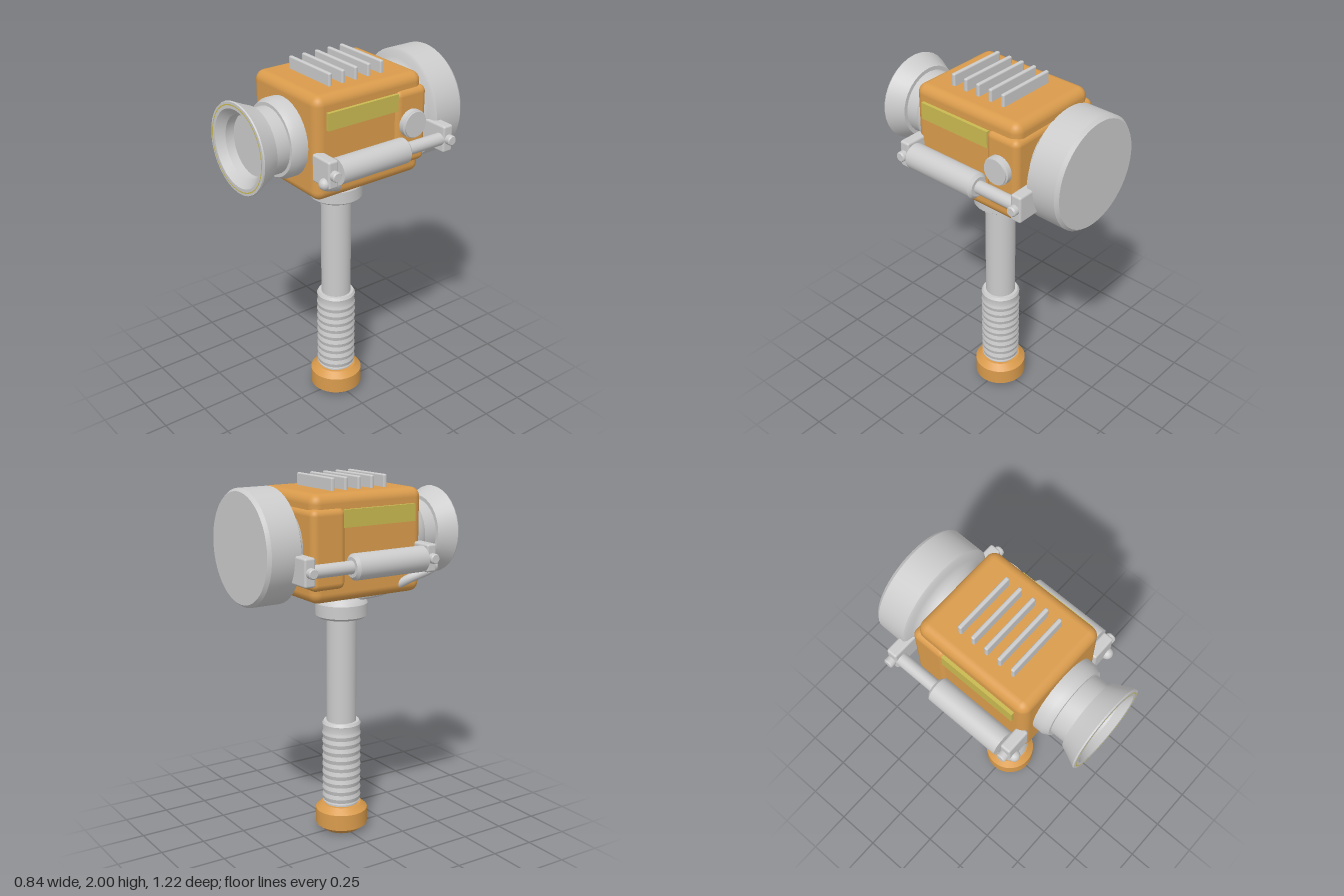
import * as THREE from 'three';
import { toCreasedNormals } from 'three/addons/utils/BufferGeometryUtils.js';
import { RoundedBoxGeometry } from 'three/addons/geometries/RoundedBoxGeometry.js';

const orange = new THREE.MeshStandardMaterial({ color: 0xd99b4c });
orange.name = 'orange paint';
const steel = new THREE.MeshStandardMaterial({ color: 0xcbcbcb });
steel.name = 'light steel';
const yellow = new THREE.MeshStandardMaterial({ color: 0xc9b951 });
yellow.name = 'yellow trim';

const HEAD_Y = 1.66; // height of the striking axis

export function createModel() {
  const model = new THREE.Group();
  model.name = 'hammer';

  const add = (name, geometry, material, x = 0, y = 0, z = 0) => {
    const mesh = new THREE.Mesh(geometry, material);
    mesh.name = name;
    mesh.position.set(x, y, z);
    model.add(mesh);
    return mesh;
  };
  // Turned part from [radius, height] pairs, with crisp edges
  const turned = (points, sides = 32) => toCreasedNormals(
    new THREE.LatheGeometry(points.map(([r, h]) => new THREE.Vector2(r, h)), sides), 0.5);
  const alongZ = (points, sides) => turned(points, sides).rotateX(Math.PI / 2);
  const alongX = (points, sides) => turned(points, sides).rotateZ(-Math.PI / 2);
  const rounded = (w, h, d, r) => new RoundedBoxGeometry(w, h, d, 4, r);

  // Handle
  add('pommel', turned([[0, 0], [0.1, 0], [0.145, 0.035], [0.145, 0.125], [0.11, 0.157], [0, 0.157]]), orange);
  const grip = [[0, 0.15], [0.095, 0.15], [0.095, 0.168], [0.105, 0.172]];
  for (let i = 0; i <= 36; i++) {
    grip.push([0.105 - 0.003 * Math.cos((i / 4) * Math.PI * 2), 0.18 + i * 0.0115]);
  }
  grip.push([0.107, 0.63], [0.098, 0.645], [0, 0.645]);
  add('grip', turned(grip), steel);
  add('shaft', new THREE.CylinderGeometry(0.082, 0.082, 0.7, 32, 1, true), steel, 0, 0.95, 0);
  add('shaftCollar', turned([[0, 1.235], [0.125, 1.235], [0.142, 1.248], [0.142, 1.315], [0.127, 1.342],
    [0.115, 1.35], [0.115, 1.362], [0.148, 1.368], [0.148, 1.395], [0, 1.395]]), steel);

  // Head housing
  add('housing', rounded(0.55, 0.55, 0.67, 0.05), orange, 0, HEAD_Y, -0.01);
  add('rearSaddle', rounded(0.59, 0.41, 0.2, 0.035), orange, 0, HEAD_Y, -0.26);

  // Cooling fins
  for (let i = -2; i <= 2; i++) {
    add('fin', rounded(0.34, 0.08, 0.022, 0.008), steel, 0, 1.96, i * 0.08);
  }

  // Large rear striking face
  add('rearHammerFace', alongZ([[0, -0.61], [0.285, -0.61], [0.3, -0.592], [0.3, -0.428], [0.285, -0.418],
    [0.255, -0.412], [0.235, -0.402], [0.215, -0.385], [0.2, -0.355], [0.2, -0.32]], 48), steel, 0, HEAD_Y, 0);

  // Flared front muzzle with a hollow mouth
  add('frontMuzzle', alongZ([[0.208, 0.31], [0.208, 0.378], [0.192, 0.41], [0.174, 0.41], [0.174, 0.497],
    [0.195, 0.497], [0.208, 0.53], [0.24, 0.597], [0.237, 0.604], [0.203, 0.604], [0.165, 0.565],
    [0.16, 0.52], [0, 0.52]], 32), steel, 0, HEAD_Y, 0);
  add('muzzleRing', new THREE.RingGeometry(0.219, 0.225, 32), yellow, 0, HEAD_Y, 0.606);

  // Dial on the left flank
  add('dial', alongX([[0.075, 0.28], [0.075, 0.322], [0.068, 0.326], [0.068, 0.334], [0, 0.334]]),
    steel, 0, 1.685, -0.255);

  // Mirrored side parts: trim, piston, brackets, pins and hose
  for (const s of [-1, 1]) {
    const side = s > 0 ? 'left' : 'right';
    add(side + 'Trim', new THREE.BoxGeometry(0.03, 0.09, 0.435), yellow, s * 0.278, 1.81, 0.047);

    add(side + 'PistonBarrel', alongZ([[0, -0.172], [0.052, -0.172], [0.068, -0.157], [0.068, 0.265], [0, 0.265]]),
      steel, s * 0.354, 1.577, 0);
    add(side + 'PistonRod', new THREE.CylinderGeometry(0.034, 0.034, 0.27, 24).rotateX(Math.PI / 2),
      steel, s * 0.354, 1.577, -0.285);

    add(side + 'FrontBracket', rounded(0.14, 0.147, 0.06, 0.012), steel, s * 0.319, 1.58, 0.305);
    add(side + 'RearBracket', rounded(0.19, 0.147, 0.062, 0.012), steel, s * 0.293, 1.58, -0.432);
    for (const z of [0.305, -0.432]) {
      const pin = add(side + 'Pin', alongX([[0.024, 0.37], [0.024, 0.39], [0.027, 0.39], [0.027, 0.415],
        [0.022, 0.422], [0, 0.422]], 16), steel, 0, 1.58, z);
      if (s < 0) pin.rotation.y = Math.PI; // flips the pin outward
    }

    const route = [[0.354, 1.535, 0.35], [0.35, 1.515, 0.325], [0.31, 1.475, 0.24], [0.255, 1.435, 0.19],
      [0.18, 1.39, 0.13], [0.09, 1.357, 0.04]].map(([x, y, z]) => new THREE.Vector3(s * x, y, z));
    add(side + 'Hose', new THREE.TubeGeometry(new THREE.CatmullRomCurve3(route), 32, 0.024, 12), steel);
    add(side + 'HoseFitting', new THREE.SphereGeometry(0.031, 16, 12), steel, s * 0.354, 1.53, 0.335);
  }
  return model;
}
